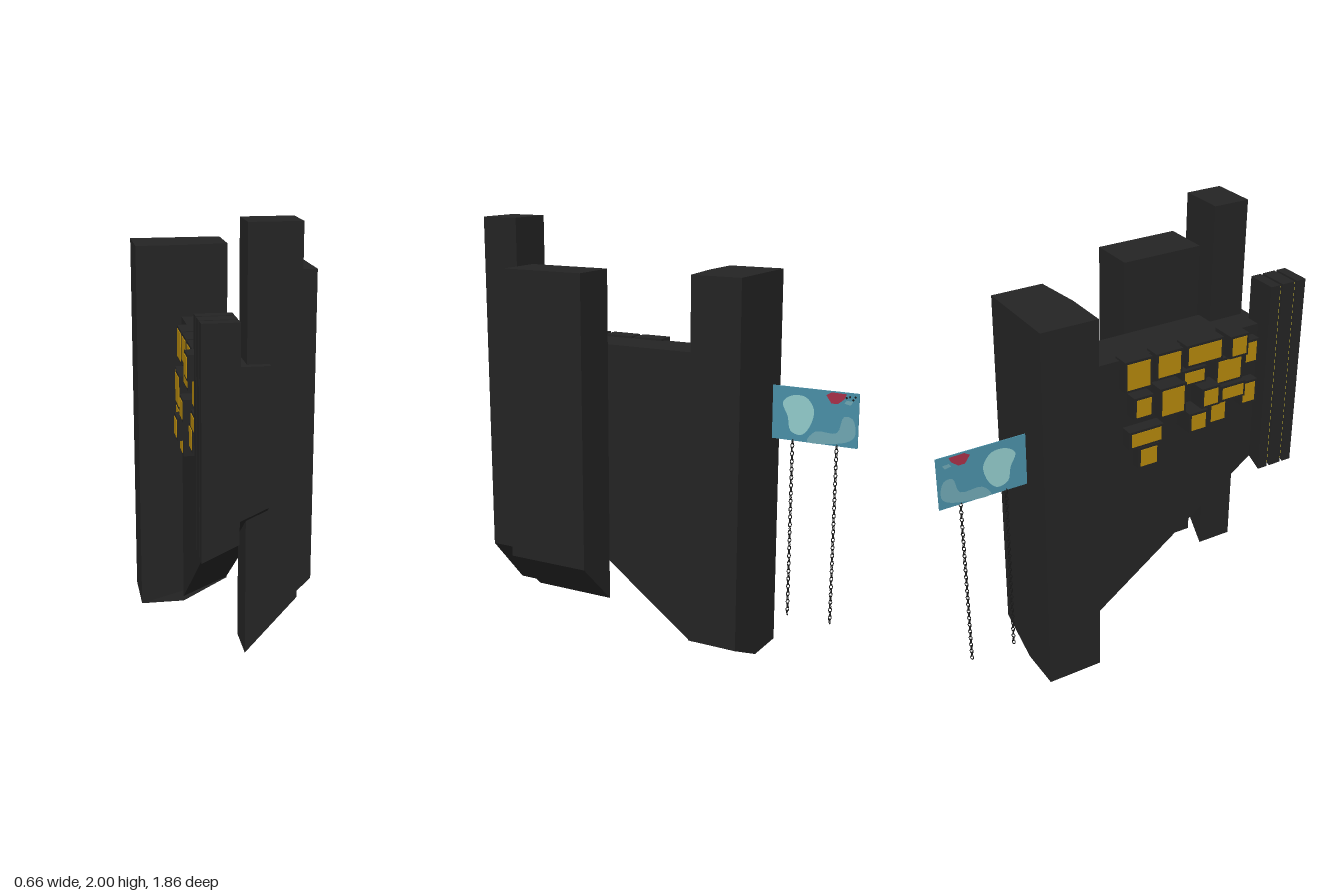
import * as THREE from 'three';

function material(name, hex, doubleSided) {
  const m = new THREE.MeshStandardMaterial({ color: hex });
  m.name = name;
  if (doubleSided) m.side = THREE.DoubleSide;
  return m;
}

export function createModel() {
  const root = new THREE.Group();
  root.name = 'hangingTowers';
  const charcoal = material('charcoal', 0x242424);
  const amber = material('windowAmber', 0xb4880c);
  const yellow = material('stripYellow', 0xdcc832);
  const teal = material('teal', 0x4a90a8, true);
  const pale = material('paleAqua', 0x92cccc, true);
  const mist = material('mistBlue', 0x70a8b4, true);
  const red = material('crimson', 0xa83048, true);
  const black = material('chainBlack', 0x1c1c1c);

  function add(name, geometry, mat, parent = root) {
    const mesh = new THREE.Mesh(geometry, mat);
    mesh.name = name;
    parent.add(mesh);
    return mesh;
  }

  // Box given by its limits
  function box(name, x0, x1, y0, y1, z0, z1, mat, parent) {
    const g = new THREE.BoxGeometry(x1 - x0, y1 - y0, z1 - z0);
    g.translate((x0 + x1) / 2, (y0 + y1) / 2, (z0 + z1) / 2);
    return add(name, g, mat, parent);
  }

  // Block with a flat top whose underside follows bottom(x, z)
  function slantedBlock(name, x0, x1, z0, z1, top, bottom, mat = charcoal, parent = root) {
    const g = new THREE.BoxGeometry(x1 - x0, 1, z1 - z0);
    g.translate((x0 + x1) / 2, 0.5, (z0 + z1) / 2);
    const p = g.attributes.position;
    for (let i = 0; i < p.count; i++) {
      p.setY(i, p.getY(i) > 0.5 ? top : bottom(p.getX(i), p.getZ(i)));
    }
    g.computeVertexNormals();
    return add(name, g, mat, parent);
  }

  // Rear tower: flat underside that rises along one side, front face slightly skewed
  const profile = new THREE.Shape([
    [-0.33, 0], [-0.12, 0], [0.1, 0.1], [0.1, 1.78], [-0.12, 1.78], [-0.33, 1.78],
  ].map(([x, y]) => new THREE.Vector2(x, y)));
  const rear = new THREE.ExtrudeGeometry(profile, { depth: 0.265, bevelEnabled: false });
  rear.translate(0, 0, -0.5);
  const rp = rear.attributes.position;
  for (let i = 0; i < rp.count; i++) {
    if (rp.getX(i) > 0.05 && rp.getZ(i) > -0.3) rp.setZ(i, -0.26);
  }
  rear.computeVertexNormals();
  add('rearTower', rear, charcoal);

  // Long slab and the two side towers
  slantedBlock('mainSlab', -0.12, 0.1, -0.27, 0.77, 1.445,
    (x, z) => Math.max(0, 0.75 * (z + 0.24)) + 0.45 * (x + 0.12));
  slantedBlock('frontTower', 0.01, 0.228, 0.56, 0.737, 2, (x) => 0.2 + 1.1 * (x - 0.01));
  slantedBlock('sideTower', 0.11, 0.33, 0.155, 0.555, 1.785, (x) => 0.23 + 0.95 * (x - 0.11));

  // Front fins with lit strips in the gaps
  const fins = new THREE.Group();
  fins.name = 'frontFins';
  root.add(fins);
  const finBottom = (x) => 0.7 + 0.47 * (x + 0.2);
  for (const [z0, z1] of [[0.737, 0.788], [0.802, 0.868], [0.882, 0.93]]) {
    slantedBlock('fin', -0.2, -0.05, z0, z1, 1.655, finBottom, charcoal, fins);
  }
  for (const z of [0.793, 0.873]) {
    slantedBlock('lightStrip', -0.19, -0.06, z, z + 0.005, 1.645,
      (x) => finBottom(x) + 0.01, yellow, fins);
  }

  // Stacked window bays: centre z, centre y, width, height, outer x
  const bays = new THREE.Group();
  bays.name = 'windowBays';
  root.add(bays);
  const bayList = [
    [0.06, 1.38, 0.14, 0.15, -0.17],
    [0.22, 1.39, 0.14, 0.13, -0.17],
    [0.41, 1.4, 0.2, 0.11, -0.17],
    [0.57, 1.41, 0.1, 0.11, -0.21],
    [0.35, 1.3, 0.13, 0.08, -0.18],
    [0.55, 1.28, 0.15, 0.13, -0.17],
    [0.57, 1.165, 0.14, 0.08, -0.18],
    [0.08, 1.22, 0.1, 0.11, -0.185],
    [0.225, 1.22, 0.14, 0.15, -0.2],
    [0.425, 1.19, 0.1, 0.1, -0.21],
    [0.67, 1.13, 0.09, 0.12, -0.17],
    [0.35, 1.09, 0.1, 0.1, -0.225],
    [0.49, 1.08, 0.1, 0.11, -0.18],
    [0.1, 1.06, 0.18, 0.09, -0.18],
    [0.12, 0.95, 0.11, 0.11, -0.17],
    [0.67, 1.34, 0.08, 0.12, -0.17],
  ];
  for (const [z, y, w, h, x] of bayList) {
    box('bay', x, -0.09, y - h / 2, y + h / 2, z - w / 2, z + w / 2, charcoal, bays);
    const a = w / 2 - 0.012, b = h / 2 - 0.012;
    box('bayWindow', x - 0.003, x + 0.002, y - b, y + b, z - a, z + a, amber, bays);
  }

  // Painted sign, visible from both sides
  const sign = new THREE.Group();
  sign.name = 'sign';
  root.add(sign);
  const signX = -0.205;
  box('signPanel', signX - 0.002, signX + 0.002, 1.03, 1.275, -0.927, -0.52, teal, sign);

  // Flat painted shape; points are distance toward the rear, then height
  function paint(name, points, mat, curved, lift) {
    const pts = points.map(([s, y]) => new THREE.Vector3(s, y, 0));
    const outline = curved ? new THREE.CatmullRomCurve3(pts, true).getPoints(32).slice(0, -1) : pts;
    const shape = new THREE.Shape(outline.map((p) => new THREE.Vector2(p.x, p.y)));
    for (const side of [-1, 1]) {
      const g = new THREE.ShapeGeometry(shape);
      g.rotateY(Math.PI / 2);
      const mesh = add(name, g, mat, sign);
      mesh.position.x = signX + side * lift;
    }
  }
  paint('paleShape', [[0.57, 1.2], [0.61, 1.235], [0.68, 1.235], [0.72, 1.18], [0.7, 1.1],
    [0.66, 1.06], [0.61, 1.075], [0.595, 1.14]], pale, true, 0.004);
  paint('mistShape', [[0.69, 1.035], [0.73, 1.085], [0.83, 1.09], [0.86, 1.165], [0.9, 1.16],
    [0.915, 1.09], [0.89, 1.06], [0.8, 1.037]], mist, true, 0.004);
  paint('redShape', [[0.775, 1.255], [0.8, 1.27], [0.87, 1.268], [0.86, 1.245],
    [0.83, 1.22], [0.8, 1.22]], red, false, 0.005);
  paint('smallPaleShape', [[0.86, 1.225], [0.89, 1.22], [0.9, 1.238], [0.87, 1.24]], mist, false, 0.005);
  for (const [s, y] of [[0.885, 1.257], [0.9, 1.245], [0.91, 1.258], [0.87, 1.252]]) {
    const r = 0.006;
    paint('darkSpot', [[s - r, y], [s, y - r], [s + r, y], [s, y + r]], black, false, 0.006);
  }

  // Chains hanging under the sign
  const link = new THREE.TorusGeometry(0.0075, 0.0022, 4, 8);
  link.scale(1, 1.5, 1);
  for (const z of [-0.62, -0.83]) {
    const chain = new THREE.Group();
    chain.name = 'chain';
    root.add(chain);
    for (let i = 0; i < 45; i++) {
      const mesh = add('chainLink', link, black, chain);
      mesh.position.set(signX, 1.025 - i * 0.0187, z);
      mesh.rotation.y = Math.PI / 4 + (i % 2) * Math.PI / 2;
    }
  }
  return root;
}
